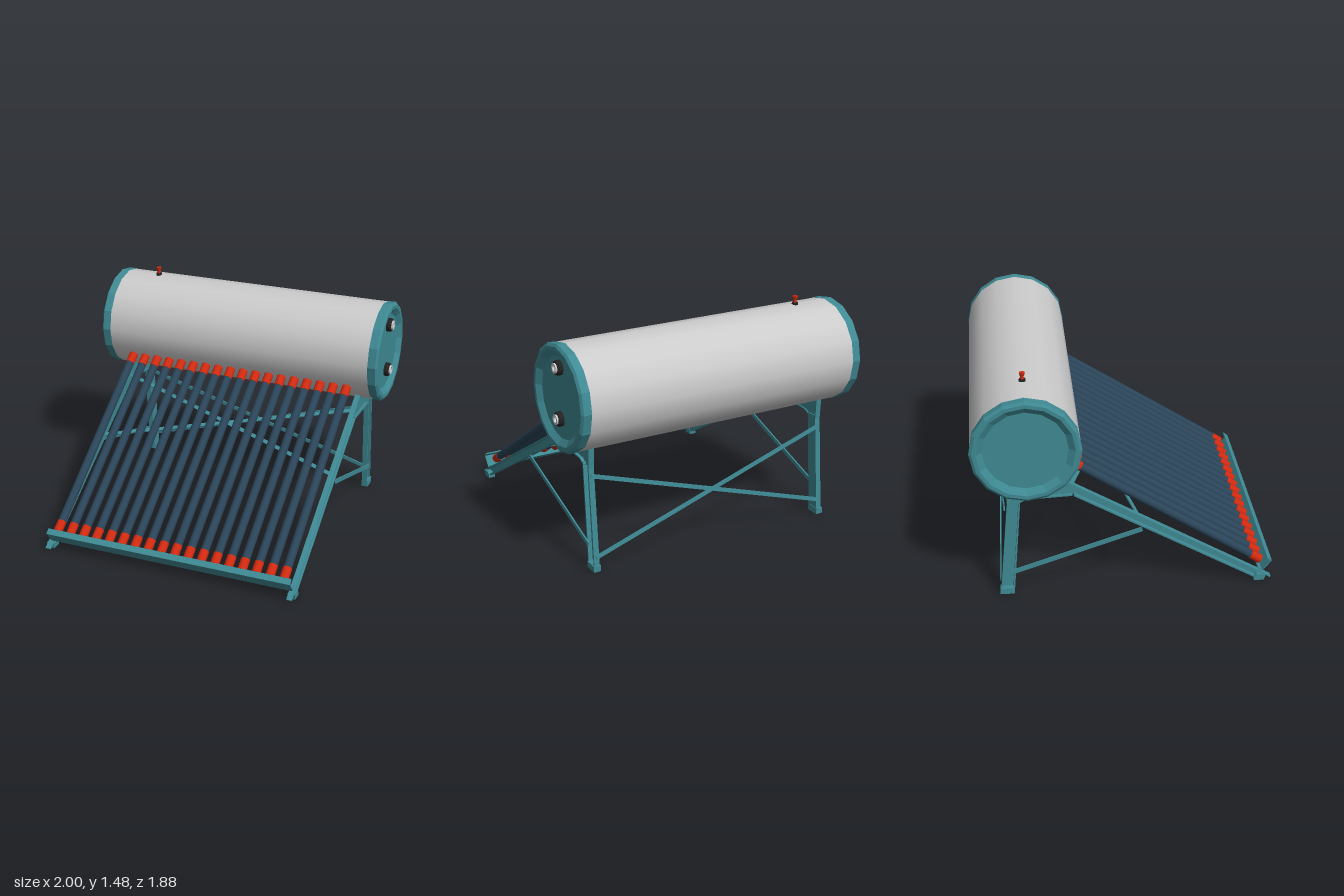
import * as THREE from 'three';
import { mergeGeometries } from 'three/addons/utils/BufferGeometryUtils.js';

const mat = (color, extra = {}) => new THREE.MeshStandardMaterial({ color, ...extra });
const TANK = { y: 1.095, z: -0.605, r: 0.333 };

export function createModel() {
  const model = new THREE.Group();
  const teal = mat(0x3f8a94);
  const tealFlat = mat(0x3f8a94, { flatShading: true, side: THREE.DoubleSide });
  const grey = mat(0xcccccc);
  const red = mat(0xd02a10);
  const glass = mat(0x2a4458);
  const dark = mat(0x222222);

  const add = (name, geometry, material, parent = model) => {
    const mesh = new THREE.Mesh(geometry, material);
    mesh.name = name;
    parent.add(mesh);
    return mesh;
  };

  // Polygon of [z, y] points, extruded along x between xa and xb
  const plate = (points, xa, xb) => {
    const shape = new THREE.Shape(points.map(([z, y]) => new THREE.Vector2(z, y)));
    const g = new THREE.ExtrudeGeometry(shape, { depth: Math.abs(xb - xa), bevelEnabled: false });
    return g.rotateY(-Math.PI / 2).translate(Math.max(xa, xb), 0, 0);
  };

  // Straight strip in the side plane, thickened to the left of a -> b
  const strip = (a, b, t, xa, xb) => {
    const dz = b[0] - a[0], dy = b[1] - a[1], l = Math.hypot(dz, dy);
    const n = [-dy / l * t, dz / l * t];
    return plate([a, b, [b[0] + n[0], b[1] + n[1]], [a[0] + n[0], a[1] + n[1]]], xa, xb);
  };

  // Flat bar between two points, its face turned towards normal
  const flatBar = (a, b, normal, width, thick) => {
    const A = new THREE.Vector3(...a), B = new THREE.Vector3(...b);
    const dir = B.clone().sub(A), length = dir.length();
    dir.normalize();
    const side = new THREE.Vector3(...normal).cross(dir).normalize();
    const out = dir.clone().cross(side);
    return new THREE.BoxGeometry(length, width, thick)
      .applyMatrix4(new THREE.Matrix4().makeBasis(dir, side, out))
      .translate(...A.add(B).multiplyScalar(0.5).toArray());
  };

  // Cylinder between two points
  const rod = (a, b, r, sides = 14) => {
    const A = new THREE.Vector3(...a), B = new THREE.Vector3(...b);
    const dir = B.clone().sub(A);
    const q = new THREE.Quaternion().setFromUnitVectors(new THREE.Vector3(0, 1, 0), dir.clone().normalize());
    return new THREE.CylinderGeometry(r, r, dir.length(), sides)
      .applyQuaternion(q).translate(...A.add(B).multiplyScalar(0.5).toArray());
  };

  // Tank body
  const body = new THREE.CylinderGeometry(TANK.r - 0.002, TANK.r - 0.002, 1.87, 16, 1, true);
  add('tankBody', body.rotateZ(Math.PI / 2).translate(-0.008, TANK.y, TANK.z), grey);

  // Dished end caps
  const capProfile = [[0.333, -0.065], [0.335, -0.012], [0.318, 0], [0.295, 0], [0.255, -0.028], [0, -0.028]]
    .map(([r, h]) => new THREE.Vector2(r, h));
  for (const s of [1, -1]) {
    const cap = new THREE.LatheGeometry(capProfile, 16).rotateZ(-s * Math.PI / 2);
    add(s > 0 ? 'leftEndCap' : 'rightEndCap', cap.translate(s > 0 ? 0.985 : -1, TANK.y, TANK.z), tealFlat);
  }

  // Water connections on the left end
  for (const y of [1.285, 0.965]) {
    const port = new THREE.Group();
    port.name = 'waterPort';
    port.position.set(0.957, y, TANK.z);
    port.rotation.z = -Math.PI / 2;
    model.add(port);
    const ring = [[0.032, 0], [0.046, 0], [0.046, 0.022], [0.04, 0.032], [0.032, 0.032], [0.032, 0]];
    const pipe = [[0.018, 0], [0.031, 0], [0.031, 0.042], [0.018, 0.042], [0.018, 0]];
    const lathe = p => new THREE.LatheGeometry(p.map(([r, h]) => new THREE.Vector2(r, h)), 20);
    add('portSeal', lathe(ring), mat(0x222222, { flatShading: true }), port);
    add('portPipe', lathe(pipe), mat(0xcccccc, { flatShading: true }), port);
  }

  // Relief valve on top
  const valve = new THREE.Group();
  valve.name = 'reliefValve';
  valve.position.set(-0.705, 1.42, TANK.z);
  model.add(valve);
  add('valveBase', new THREE.CylinderGeometry(0.019, 0.021, 0.018, 14).translate(0, 0.009, 0), dark, valve);
  add('valveStem', new THREE.CylinderGeometry(0.009, 0.012, 0.022, 12).translate(0, 0.027, 0), red, valve);
  add('valveHead', new THREE.CylinderGeometry(0.018, 0.013, 0.022, 14).translate(0, 0.047, 0), red, valve);

  // Evacuated tubes with end sleeves, all along one slope
  const at = t => [0.875 - 1.188 * t, 0.118 + 0.777 * t];
  const TUBES = 18;
  for (let i = 0; i < TUBES; i++) {
    const x = -0.79 + i * 1.56 / (TUBES - 1);
    const p = t => [x, at(t)[1], at(t)[0]];
    add('glassTube', rod(p(0.03), p(1.0), 0.028), glass);
    add('lowerSleeve', rod(p(0), p(0.055), 0.03), red);
    add('upperSleeve', rod(p(0.965), p(1.07), 0.03), red);
  }

  // Bottom tray: channel open towards the tubes
  const tray = [[0.945, 0.13], [0.884, 0.05], [0.855, 0.076], [0.86, 0.082], [0.884, 0.061],
    [0.933, 0.128], [0.909, 0.149], [0.914, 0.156]];
  add('tubeTray', plate(tray, -0.835, 0.832), teal);

  // Channel: web plus two flanges along its long edges (a -> b and c -> d)
  const channel = ([a, b, c, d], s) => mergeGeometries([
    plate([a, b, c, d], s * 0.812, s * 0.82),
    strip(a, b, 0.01, s * 0.812, s * 0.848),
    strip(c, d, 0.01, s * 0.812, s * 0.848),
  ]);

  const gusset = [[-0.278, 0.747], [-0.41, 0.832], [-0.44, 0.803]];
  for (const z of [-0.5, -0.55, -0.605, -0.66, -0.7]) {
    gusset.push([z, TANK.y - Math.sqrt(0.33 ** 2 - (z - TANK.z) ** 2)]);
  }
  gusset.push([-0.735, 0.79], [-0.728, 0.66], [-0.655, 0.66], [-0.61, 0.685], [-0.325, 0.697]);

  // Side frames
  for (const s of [1, -1]) {
    const frame = new THREE.Group();
    frame.name = s > 0 ? 'leftFrame' : 'rightFrame';
    frame.position.x = -0.003;
    model.add(frame);
    add('slopedRail', channel([[0.83, 0.02], [-0.32, 0.695], [-0.278, 0.747], [0.94, 0.02]].reverse(), s), teal, frame);
    add('rearLeg', channel([[-0.645, 0.68], [-0.702, 0], [-0.788, 0], [-0.726, 0.68]].reverse(), s), teal, frame);
    add('gusset', mergeGeometries([
      plate(gusset, s * 0.82, s * 0.828),
      strip([-0.41, 0.832], [-0.278, 0.747], -0.008, s * 0.812, s * 0.848),
      strip([-0.61, 0.685], [-0.325, 0.697], 0.008, s * 0.812, s * 0.848),
      strip([-0.655, 0.66], [-0.61, 0.685], 0.008, s * 0.812, s * 0.848),
      strip([-0.728, 0.66], [-0.735, 0.79], -0.008, s * 0.812, s * 0.848),
    ]), teal, frame);
    add('sideBrace', strip([-0.72, 0.175], [0.1, 0.448], -0.028, s * 0.848, s * 0.858), teal, frame);
    add('frontFoot', plate([[0.83, 0], [0.895, 0], [0.905, 0.04], [0.85, 0.04], [0.83, 0.02]], s * 0.808, s * 0.855), teal, frame);
    add('rearFoot', plate([[-0.702, 0], [-0.792, 0], [-0.792, 0.04], [-0.702, 0.04]], s * 0.808, s * 0.855), teal, frame);

    // One diagonal of each cross
    add('frontCrossBrace', flatBar([-s * 0.815, 0.475, 0.1], [s * 0.815, 0.745, -0.34], [0, 0.86, 0.52], 0.026, 0.008), teal);
    add('rearCrossBrace', flatBar([-s * 0.835, 0.618, -0.741 - s * 0.004], [s * 0.835, 0.1, -0.79 - s * 0.004], [0, 0.1, -1], 0.026, 0.008), teal);
  }
  return model;
}
